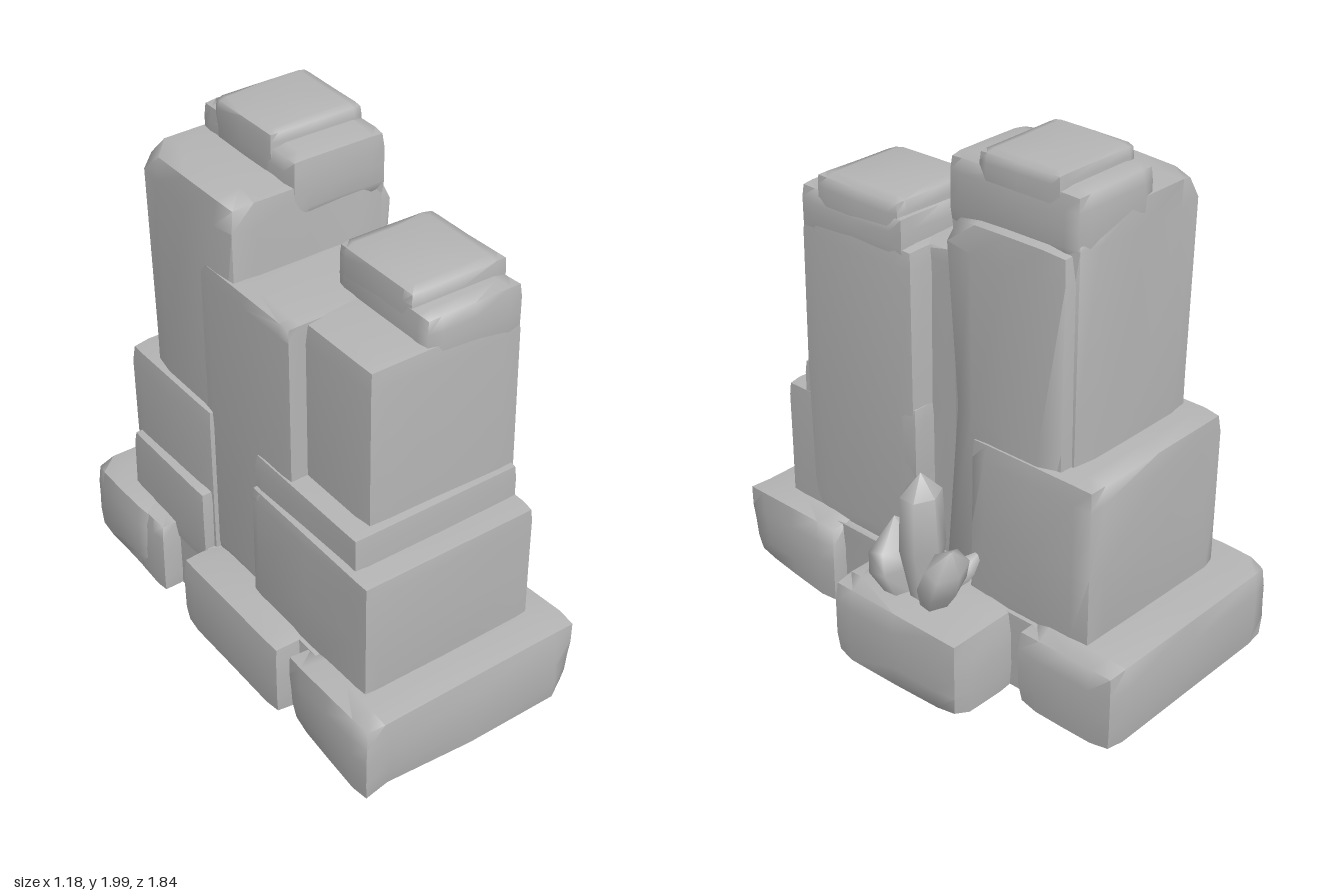
import * as THREE from 'three';
import { mergeVertices, toCreasedNormals } from 'three/addons/utils/BufferGeometryUtils.js';

const stone = new THREE.MeshStandardMaterial({ color: 0xb4b4b4 });
stone.name = 'grey stone';

// Smooth repeatable value from 0 to 1 at a point
const wear = (x, y, z, k) =>
  0.5 + 0.5 * Math.sin(x * 9.1 + k * 2.3) * Math.sin(y * 7.3 + k * 1.7 + 1) * Math.cos(z * 8.7 + k);

// Drops the built-in normals and seams, so that faces can share smooth normals
function weld(geo) {
  geo.deleteAttribute('normal');
  geo.deleteAttribute('uv');
  return mergeVertices(geo);
}

// Weathered block between two corners: softened edges and slightly dented faces
function rock(name, [x0, x1], [y0, y1], [z0, z1], bevel, seed, dent = 0.014) {
  const size = [x1 - x0, y1 - y0, z1 - z0];
  const mid = [(x0 + x1) / 2, (y0 + y1) / 2, (z0 + z1) / 2];
  const geo = weld(new THREE.BoxGeometry(...size, 4, 4, 4));
  const pos = geo.attributes.position;
  for (let i = 0; i < pos.count; i++) {
    const p = [pos.getX(i), pos.getY(i), pos.getZ(i)];
    const t = p.map((v, a) => Math.round((v / size[a]) * 4) / 2);
    const extremes = t.filter((v) => Math.abs(v) === 1).length;
    const w = wear(p[0] + mid[0], p[1] + mid[1], p[2] + mid[2], seed);
    const q = p.map((v, a) => {
      const half = size[a] / 2, s = Math.sign(t[a]);
      if (Math.abs(t[a]) === 0.5) return s * (half - Math.min(bevel * (1 + 0.5 * w), half * 0.6));
      if (Math.abs(t[a]) < 0.5) return v;
      const pull = extremes === 1 ? dent * w : bevel * (extremes === 2 ? 0.08 + 0.3 * w : 0.12 + 0.4 * w);
      return s * (half - pull);
    });
    pos.setXYZ(i, q[0] + mid[0], q[1] + mid[1], q[2] + mid[2]);
  }
  const mesh = new THREE.Mesh(toCreasedNormals(geo, 1.2), stone);
  mesh.name = name;
  return mesh;
}

// Six-sided crystal growing from a foot point towards a tip, widened sideways
function crystal(name, foot, tip, radius, shoulder, widen) {
  const a = new THREE.Vector3(...foot), b = new THREE.Vector3(...tip);
  const h = a.distanceTo(b);
  const profile = [[0.001, 0], [radius * 0.5, 0], [radius, h * 0.45], [radius * 0.9, h * shoulder], [0.001, h]];
  const geo = weld(new THREE.LatheGeometry(profile.map((p) => new THREE.Vector2(...p)), 6));
  const mesh = new THREE.Mesh(toCreasedNormals(geo, 1.1), stone);
  mesh.name = name;
  mesh.position.copy(a);
  mesh.quaternion.setFromUnitVectors(new THREE.Vector3(0, 1, 0), b.sub(a).normalize());
  mesh.scale.x = widen;
  return mesh;
}

export function createModel() {
  const group = new THREE.Group();
  group.name = 'rockFormation';
  const blocks = [
    // Foundation slabs
    ['baseCore', [-0.49, 0.3], [0.01, 0.34], [-0.6, 0.6], 0.04],
    ['baseFront', [-0.58, 0.37], [0.005, 0.352], [0.43, 0.925], 0.08],
    ['baseBack', [-0.58, 0.37], [0.005, 0.352], [-0.925, -0.48], 0.08],
    ['baseBackInner', [-0.57, 0.29], [0.01, 0.345], [-0.75, -0.4], 0.06],
    ['baseRightSide', [-0.6, -0.3], [0.01, 0.35], [-0.225, 0.415], 0.07],
    ['baseLeftSide', [0.1, 0.595], [0.005, 0.352], [-0.415, 0.215], 0.08],
    // Stepped ledges around the towers
    ['frontLedge', [-0.475, 0.265], [0.25, 0.83], [0.08, 0.775], 0.05],
    ['frontUpperLedge', [-0.45, 0.265], [0.6, 0.96], [0.08, 0.68], 0.05],
    ['sideLedge', [-0.5, 0], [0.25, 0.6], [-0.72, -0.2], 0.05],
    ['backLedge', [-0.465, 0.285], [0.25, 0.975], [-0.75, -0.18], 0.07],
    // Front tower
    ['frontTower', [-0.37, 0.275], [0.3, 1.58], [0.08, 0.65], 0.07],
    ['frontTowerShoulder', [-0.14, 0.265], [1.45, 1.68], [0.13, 0.64], 0.05, 0.004],
    ['frontTowerCap', [-0.14, 0.262], [1.5, 1.735], [0.15, 0.555], 0.04, 0.004],
    // Saddle joining both towers
    ['saddle', [-0.44, 0.17], [0.3, 1.58], [-0.25, 0.3], 0.05],
    // Back tower
    ['backTower', [-0.435, 0.215], [0.3, 1.865], [-0.615, -0.03], 0.09],
    ['backTowerSide', [-0.1, 0.265], [0.3, 1.77], [-0.6, -0.06], 0.1],
    ['backTowerShoulder', [-0.18, 0.213], [1.7, 1.955], [-0.605, -0.032], 0.05, 0.004],
    ['backTowerCap', [-0.18, 0.21], [1.8, 2.0], [-0.52, -0.165], 0.03, 0],
  ];
  blocks.forEach(([name, x, y, z, bevel, dent], i) => group.add(rock(name, x, y, z, bevel, i + 1, dent)));

  // Crystal cluster on the side slab
  group.add(
    crystal('tallCrystal', [0.42, 0.3, -0.105], [0.425, 0.85, -0.1], 0.075, 0.85, 1.25),
    crystal('frontCrystal', [0.42, 0.3, -0.03], [0.42, 0.61, 0.04], 0.08, 0.7, 1.9),
    crystal('backCrystal', [0.42, 0.3, -0.15], [0.46, 0.62, -0.28], 0.07, 0.75, 1.5),
    crystal('innerCrystal', [0.42, 0.38, -0.18], [0.24, 0.5, -0.23], 0.05, 0.6, 1),
  );
  return group;
}
